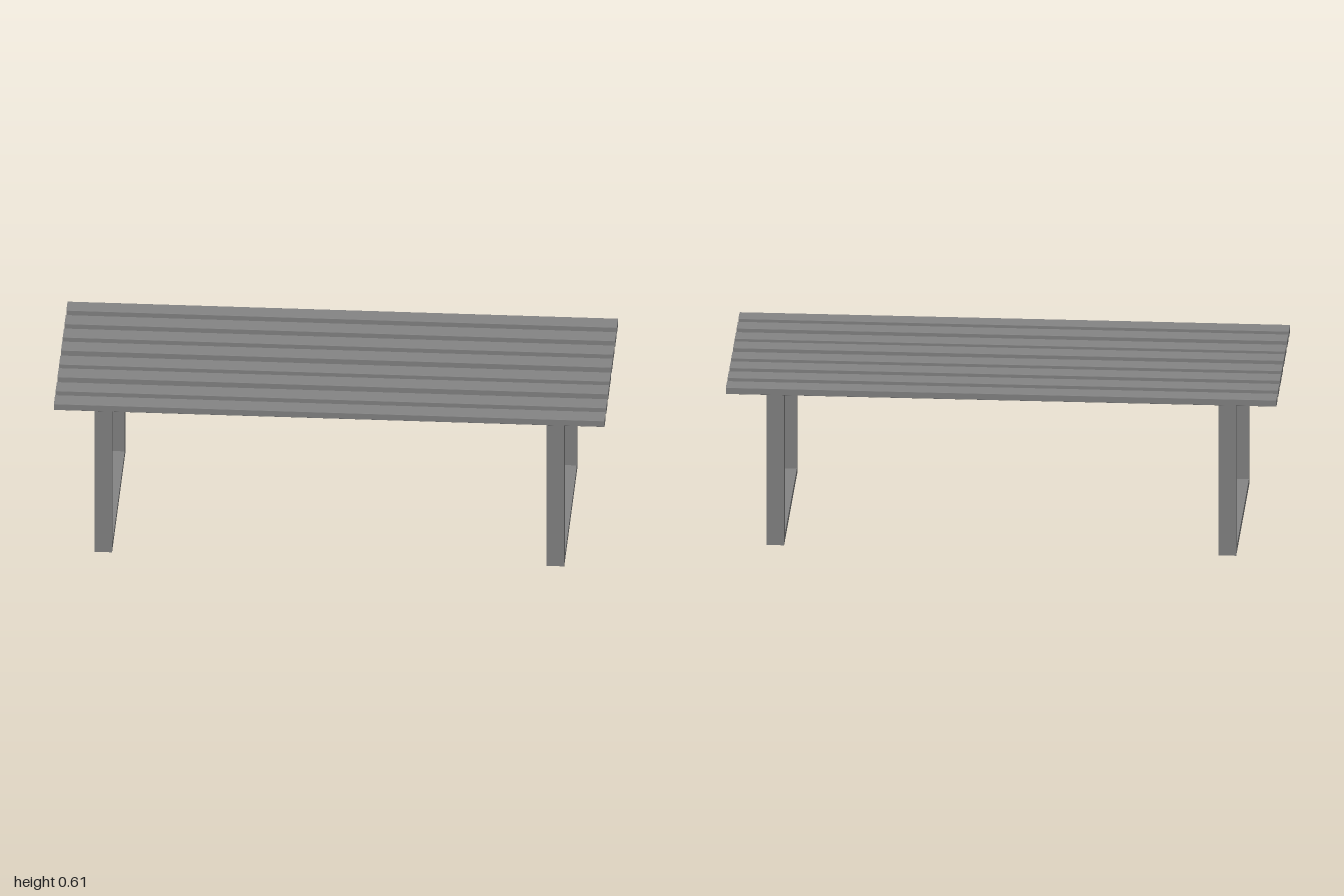
import * as THREE from 'three';
import { RoundedBoxGeometry } from 'three/addons/geometries/RoundedBoxGeometry.js';

const material = new THREE.MeshStandardMaterial({ color: 0x858585 });

// Bar given by its extents along each axis, with an optional eased edge
function bar(name, [x0, x1], [y0, y1], [z0, z1], edge = 0) {
  const size = [x1 - x0, y1 - y0, z1 - z0];
  const geometry = edge
    ? new RoundedBoxGeometry(...size, 1, edge)
    : new THREE.BoxGeometry(...size);
  const mesh = new THREE.Mesh(geometry, material);
  mesh.position.set((x0 + x1) / 2, (y0 + y1) / 2, (z0 + z1) / 2);
  mesh.name = name;
  return mesh;
}

export function createModel() {
  const bench = new THREE.Group();
  bench.name = 'slattedBench';

  // Seat: eight slightly unevenly spaced slats with eased edges
  const seat = new THREE.Group();
  seat.name = 'seat';
  const slatCentres = [0.352, 0.254, 0.149, 0.054, -0.051, -0.149, -0.25, -0.351];
  for (const z of slatCentres) {
    seat.add(bar('seatSlat', [-1, 1], [0.587, 0.612], [z - 0.034, z + 0.034], 0.0015));
  }
  bench.add(seat);

  // Two closed rectangular leg frames
  const back = -0.37, front = 0.376;
  for (const side of [-1, 1]) {
    const frame = new THREE.Group();
    frame.name = side > 0 ? 'leftLegFrame' : 'rightLegFrame';
    const x = [-0.032, 0.032];
    frame.add(
      bar('topRail', x, [0.561, 0.587], [back, front]),
      bar('bottomRail', x, [0, 0.028], [back, front]),
      bar('frontLeg', x, [0.028, 0.561], [front - 0.038, front]),
      bar('backLeg', x, [0.028, 0.561], [back, back + 0.038])
    );
    frame.position.x = side * 0.821;
    bench.add(frame);
  }
  return bench;
}
